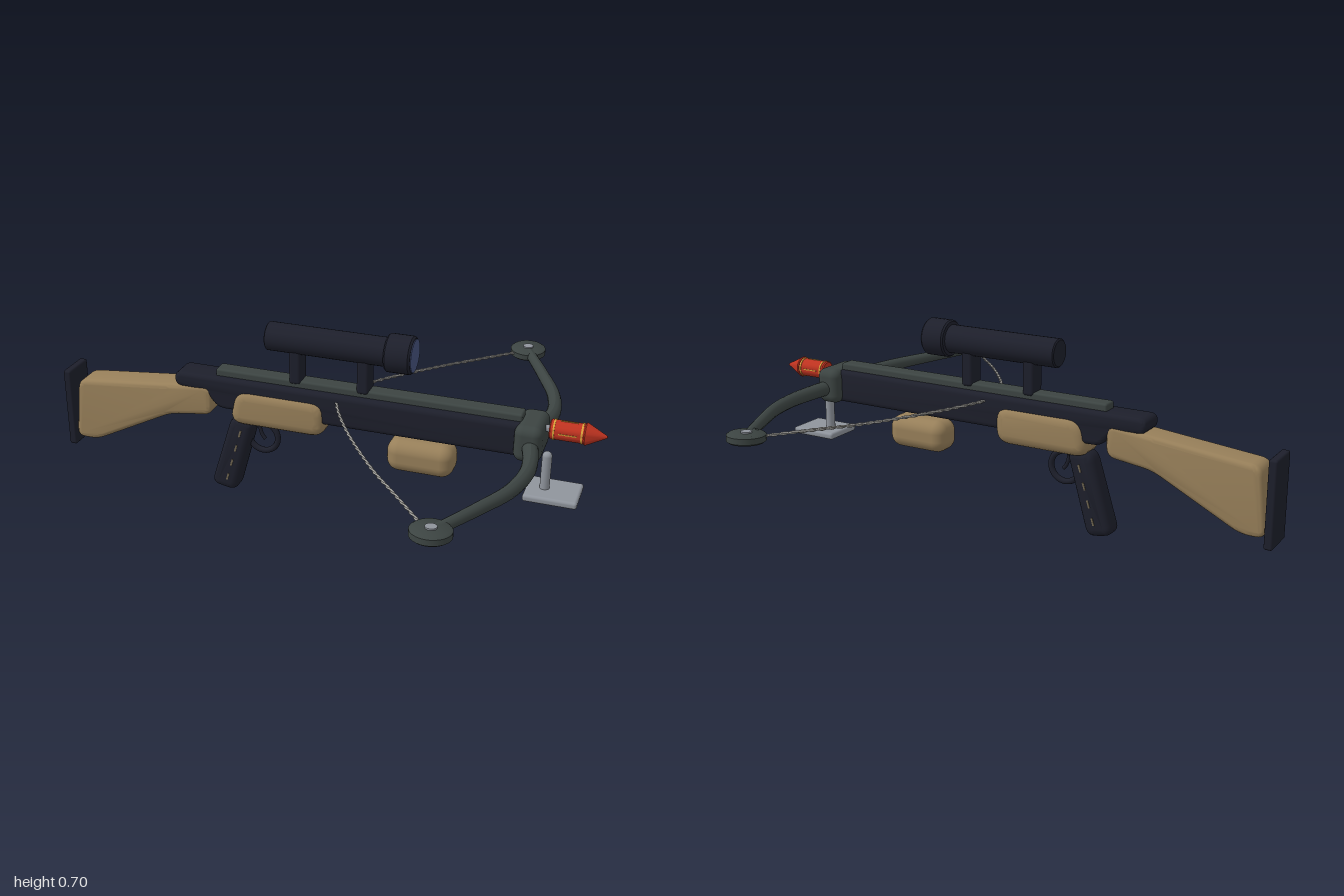
import * as THREE from 'three';
import { toCreasedNormals } from 'three/addons/utils/BufferGeometryUtils.js';
import { RoundedBoxGeometry } from 'three/addons/geometries/RoundedBoxGeometry.js';

const paint = (name, color) => {
  const m = new THREE.MeshStandardMaterial({ color });
  m.name = name;
  return m;
};

export function createModel() {
  const black = paint('blackMetal', 0x1d1f2b);
  const wood = paint('wood', 0x98805a);
  const grey = paint('bowGrey', 0x3c4442);
  const silver = paint('silver', 0x8f949c);
  const red = paint('red', 0xc03320);
  const gold = paint('gold', 0xd9a13a);
  const glass = paint('lensBlue', 0x46527c);
  const cord = paint('cord', 0xa3a29e);
  const brass = paint('gripMark', 0x6e6450);

  const model = new THREE.Group();
  model.name = 'crossbow';

  const add = (name, geometry, material, x = 0, y = 0, z = 0) => {
    const mesh = new THREE.Mesh(geometry, material);
    mesh.name = name;
    mesh.position.set(x, y, z);
    model.add(mesh);
    return mesh;
  };

  // Side profile with rounded corners
  const roundedShape = (points, radius) => {
    const p = points.map(([x, y]) => new THREE.Vector2(x, y));
    const shape = new THREE.Shape();
    p.forEach((c, i) => {
      const a = p[(i + p.length - 1) % p.length];
      const b = p[(i + 1) % p.length];
      const toward = (q) => c.clone().lerp(q, Math.min(0.45, radius / c.distanceTo(q)));
      const s = toward(a), e = toward(b);
      if (i === 0) shape.moveTo(s.x, s.y); else shape.lineTo(s.x, s.y);
      shape.quadraticCurveTo(c.x, c.y, e.x, e.y);
    });
    shape.closePath();
    return shape;
  };

  // Profile extruded across z with softened edges
  const slab = (points, radius, width, bevel) => {
    const g = new THREE.ExtrudeGeometry(roundedShape(points, radius), {
      depth: width - 2 * bevel, bevelEnabled: true, bevelThickness: bevel,
      bevelSize: bevel, bevelOffset: -bevel, bevelSegments: 4, curveSegments: 5,
    });
    g.translate(0, 0, -width / 2 + bevel);
    return toCreasedNormals(g, 0.7);
  };

  const rounded = (w, h, d, r) => new RoundedBoxGeometry(w, h, d, 4, r);

  // Lathe turned around the x axis from [x, radius] pairs
  const turned = (profile) => {
    const g = new THREE.LatheGeometry(profile.map(([x, r]) => new THREE.Vector2(r, x)), 28);
    g.rotateZ(-Math.PI / 2);
    return toCreasedNormals(g, 0.6);
  };

  // Receiver, rail and stock
  add('receiver', slab([[-0.545, 0.465], [-0.545, 0.412], [-0.42, 0.4], [-0.38, 0.345],
    [0.76, 0.345], [0.76, 0.465]], 0.03, 0.11, 0.016), black);
  add('rail', rounded(1.11, 0.04, 0.06, 0.008), grey, 0.165, 0.47);
  add('stock', slab([[-0.945, 0.372], [-0.972, 0.13], [-0.885, 0.13], [-0.57, 0.29],
    [-0.4, 0.313], [-0.4, 0.43], [-0.56, 0.412]], 0.035, 0.116, 0.018), wood);
  add('buttPlate', rounded(0.03, 0.305, 0.13, 0.008), black, -0.985, 0.252);

  // Wooden hand rests
  add('midGrip', slab([[-0.31, 0.432], [0.032, 0.432], [0.032, 0.293], [-0.335, 0.293]],
    0.055, 0.134, 0.035), wood);
  add('foreGrip', rounded(0.24, 0.12, 0.122, 0.045), wood, 0.375, 0.265);

  // Pistol grip with small side marks, and trigger guard
  add('pistolGrip', slab([[-0.335, 0.31], [-0.24, 0.305], [-0.325, 0.0], [-0.425, 0.02]],
    0.035, 0.084, 0.026), black);
  for (const z of [-0.042, 0.042]) {
    for (let i = 0; i < 4; i++) {
      const mark = add('gripMark', new THREE.BoxGeometry(0.007, 0.028, 0.004), brass,
        -0.298 - i * 0.018, 0.25 - i * 0.062, z);
      mark.rotation.z = -0.3;
    }
  }
  add('triggerGuard', new THREE.TorusGeometry(0.056, 0.011, 10, 36), black, -0.222, 0.234);
  const trigger = new THREE.QuadraticBezierCurve3(new THREE.Vector3(-0.235, 0.3, 0),
    new THREE.Vector3(-0.24, 0.25, 0), new THREE.Vector3(-0.215, 0.225, 0));
  add('trigger', new THREE.TubeGeometry(trigger, 8, 0.007, 8), black);

  // Scope with mounts and lens
  add('scope', turned([[-0.195, 0], [-0.195, 0.046], [-0.191, 0.051], [0.24, 0.051],
    [0.242, 0.062], [0.248, 0.067], [0.328, 0.067], [0.335, 0.061], [0.335, 0]]),
    black, 0, 0.635);
  const lens = add('lens', new THREE.CylinderGeometry(0.058, 0.058, 0.006, 28), glass, 0.335, 0.635);
  lens.rotation.z = -Math.PI / 2;
  for (const x of [-0.087, 0.162]) {
    add('scopeMount', rounded(0.045, 0.14, 0.068, 0.012), black, x, 0.545);
  }

  // Bow hub
  add('bowHub', rounded(0.095, 0.13, 0.18, 0.03), grey, 0.75, 0.406);

  // Limb, wheel and string on each side
  for (const s of [1, -1]) {
    const path = (pts) => new THREE.CatmullRomCurve3(
      pts.map(([x, y, z]) => new THREE.Vector3(x, y, z * s)));
    const limbPath = path([[0.75, 0.4, 0.04], [0.775, 0.393, 0.14], [0.782, 0.39, 0.24],
      [0.757, 0.391, 0.37], [0.69, 0.397, 0.52], [0.595, 0.405, 0.71]]);
    const limb = new THREE.TubeGeometry(limbPath, 40, 0.028, 14);
    // Taper the limb toward the wheel
    const pos = limb.attributes.position;
    for (let i = 0; i < pos.count; i++) {
      const t = Math.floor(i / 15) / 40;
      const c = limbPath.getPointAt(t);
      const v = new THREE.Vector3().fromBufferAttribute(pos, i).sub(c);
      v.multiplyScalar(1 - 0.35 * t).add(c);
      pos.setXYZ(i, v.x, v.y, v.z);
    }
    limb.computeVertexNormals();
    add('bowLimb', limb, grey);

    const wheel = new THREE.Group();
    wheel.name = 'bowWheel';
    wheel.position.set(0.595, 0.405, 0.71 * s);
    wheel.rotation.x = -0.05 * s;
    const disc = new THREE.LatheGeometry([[0, -0.016], [0.058, -0.016], [0.066, -0.01],
      [0.066, 0.01], [0.058, 0.016], [0, 0.016]].map(([x, y]) => new THREE.Vector2(x, y)), 28);
    const rim = new THREE.Mesh(toCreasedNormals(disc, 0.9), grey);
    rim.name = 'wheelRim';
    const axle = new THREE.Mesh(new THREE.CylinderGeometry(0.019, 0.019, 0.042, 16), silver);
    axle.name = 'wheelAxle';
    wheel.add(rim, axle);
    model.add(wheel);

    // Two strands twisted around each other
    const stringPath = path([[0.56, 0.405, 0.68], [0.44, 0.411, 0.55], [0.32, 0.417, 0.42],
      [0.165, 0.43, 0.215], [0.085, 0.439, 0.075], [0.06, 0.441, 0]]);
    for (const phase of [0, Math.PI]) {
      const strand = [];
      for (let i = 0; i <= 120; i++) {
        const a = i * 0.7 + phase;
        const p = stringPath.getPointAt(i / 120);
        p.y += Math.sin(a) * 0.003;
        p.x += Math.cos(a) * 0.003;
        strand.push(p);
      }
      add('bowString', new THREE.TubeGeometry(new THREE.CatmullRomCurve3(strand), 180, 0.0035, 6), cord);
    }
  }

  // Bolt: shaft, red body, pointed tip and gold trim
  const boltY = 0.442;
  add('boltShaft', turned([[0.74, 0], [0.74, 0.012], [0.82, 0.012], [0.82, 0]]), silver, 0, boltY);
  add('boltBody', turned([[0.81, 0], [0.81, 0.03], [0.814, 0.034], [0.93, 0.034], [0.93, 0]]),
    red, 0, boltY);
  add('boltTip', turned([[0.925, 0], [0.925, 0.036], [0.929, 0.039], [0.998, 0.004], [1, 0]]),
    red, 0, boltY);
  for (const x of [0.825, 0.918]) {
    add('boltBand', turned([[x - 0.003, 0.033], [x - 0.003, 0.036], [x + 0.003, 0.036],
      [x + 0.003, 0.033]]), gold, 0, boltY);
  }
  for (let i = 0; i < 4; i++) {
    const a = i * Math.PI / 2;
    const stripe = add('boltStripe', new THREE.BoxGeometry(0.06, 0.003, 0.004), gold,
      0.872, boltY + 0.034 * Math.cos(a), 0.034 * Math.sin(a));
    stripe.rotation.x = a;
  }

  // Foot stand
  add('standPost', new THREE.CapsuleGeometry(0.017, 0.125, 5, 18), silver, 0.808, 0.276);
  add('standPlate', rounded(0.185, 0.026, 0.152, 0.01), silver, 0.838, 0.204);

  return model;
}
